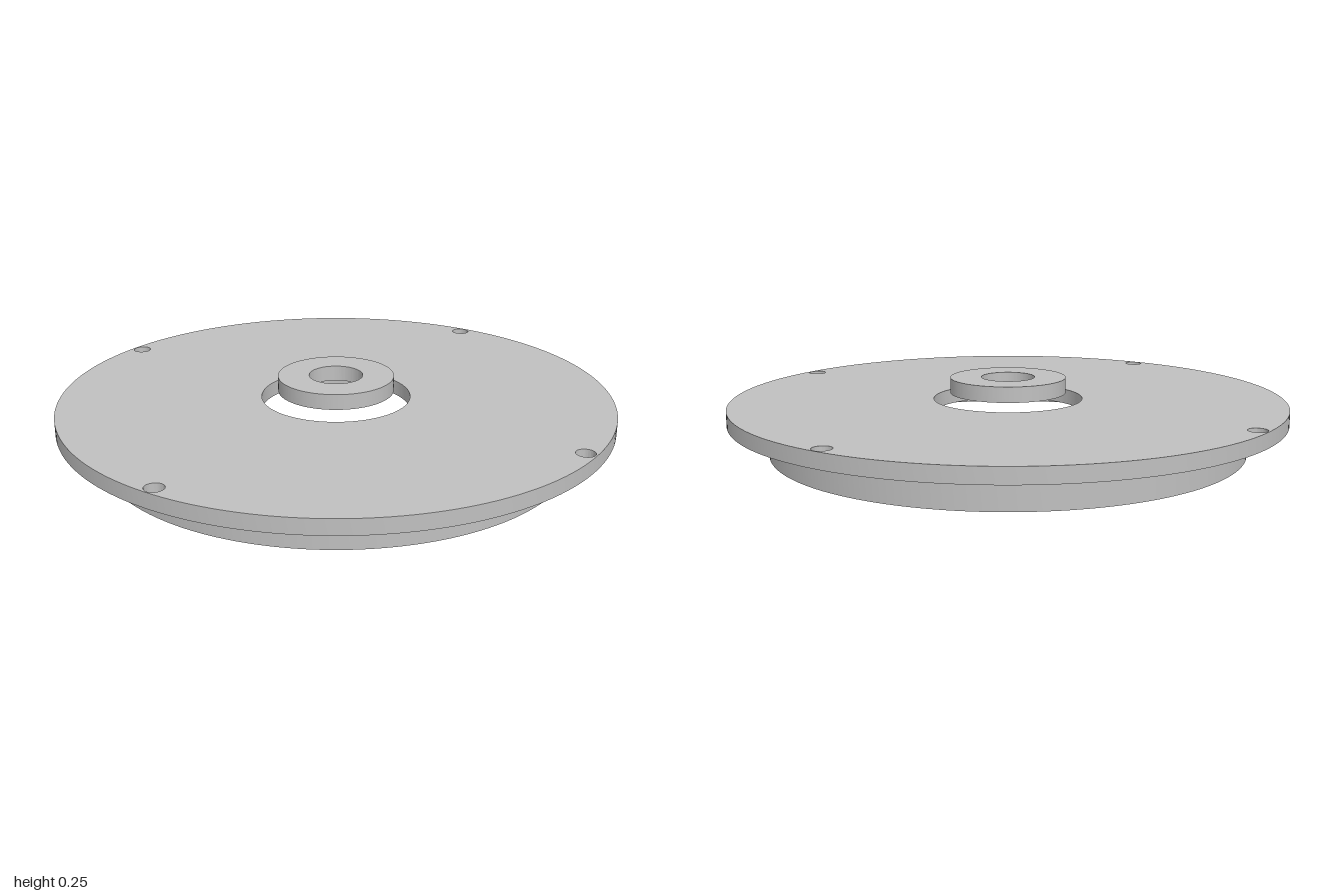
import * as THREE from 'three';
import { toCreasedNormals } from 'three/addons/utils/BufferGeometryUtils.js';

const circle = (Type, x, z, r) => new Type().absarc(x, z, r, 0, Math.PI * 2, false);

// Round disc between two heights, pierced by holes given as [x, z, radius]
function disc(name, radius, y0, y1, holes, material) {
  const shape = circle(THREE.Shape, 0, 0, radius);
  for (const [x, z, r] of holes) shape.holes.push(circle(THREE.Path, x, z, r));
  const geometry = new THREE.ExtrudeGeometry(shape, {
    depth: y1 - y0, bevelEnabled: false, curveSegments: 96,
  });
  geometry.rotateX(-Math.PI / 2).translate(0, y0, 0);
  const mesh = new THREE.Mesh(toCreasedNormals(geometry, 0.5), material);
  mesh.name = name;
  return mesh;
}

export function createModel() {
  const group = new THREE.Group();
  group.name = 'flangedCover';
  const metal = new THREE.MeshStandardMaterial({ color: 0xc0c0c0 });
  metal.name = 'grey metal';

  // Flange plate with a central opening and four bolt holes
  const holes = [[0, 0, 0.27]];
  for (const x of [-0.68, 0.68]) for (const z of [-0.68, 0.68]) holes.push([x, z, 0.033]);
  group.add(disc('flangePlate', 1, 0.12, 0.174, holes, metal));

  // Locating rim underneath
  group.add(disc('locatingRim', 0.86, 0, 0.12, [[0, 0, 0.82]], metal));

  // Separate washer floating above the opening
  group.add(disc('centreWasher', 0.21, 0.195, 0.251, [[0, 0, 0.097]], metal));

  return group;
}
